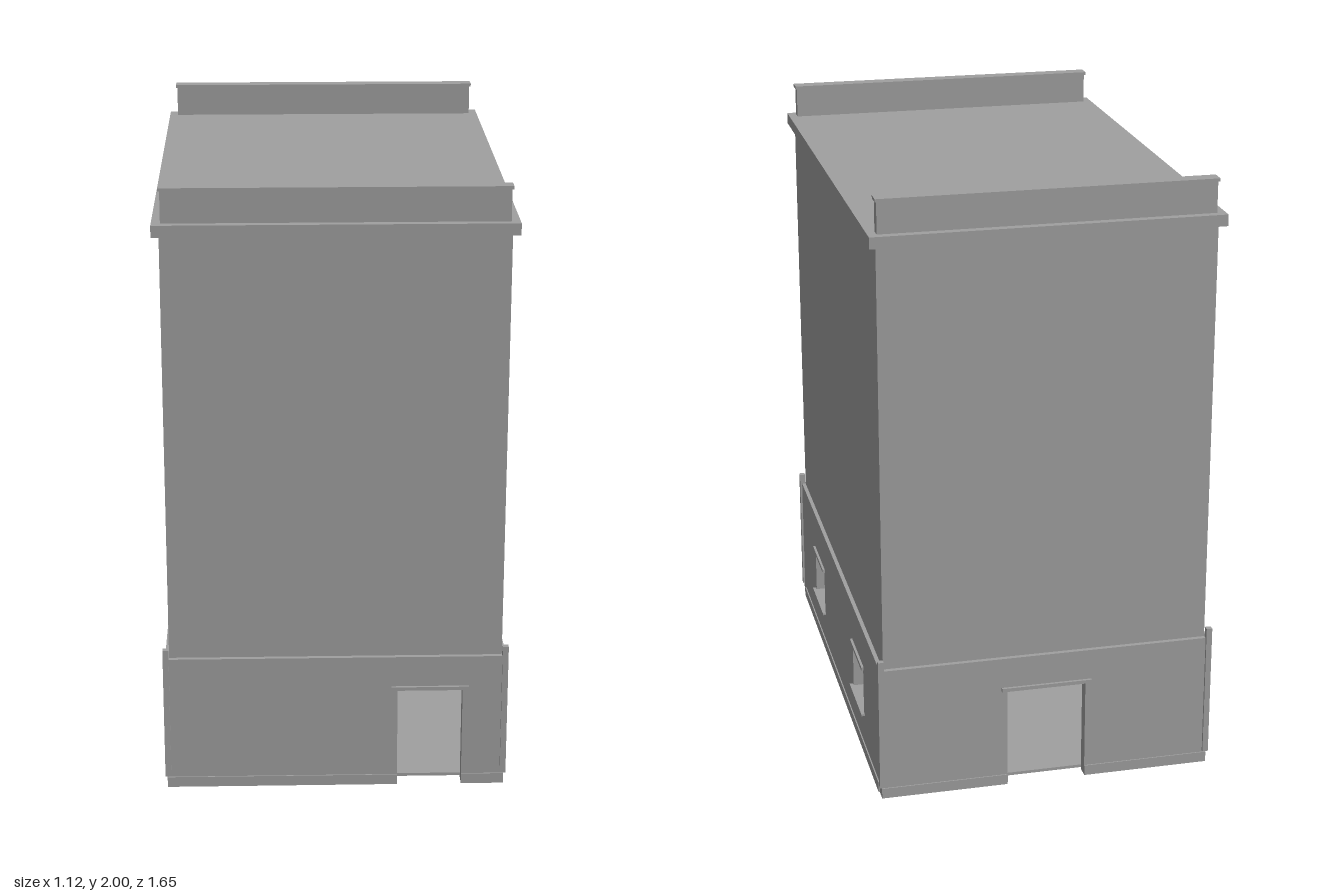
import * as THREE from 'three';

export function createModel() {
  const model = new THREE.Group();
  model.name = 'towerBuilding';
  const stone = new THREE.MeshStandardMaterial({ color: 0xa0a0a0 });
  stone.name = 'greyStone';

  const HX = 0.548, HZ = 0.815;   // half sizes of the ground storey
  const BASE_H = 0.455, WALL = 0.04;

  // box given by its limits on each axis
  function box(parent, name, x0, x1, y0, y1, z0, z1) {
    const mesh = new THREE.Mesh(new THREE.BoxGeometry(x1 - x0, y1 - y0, z1 - z0), stone);
    mesh.position.set((x0 + x1) / 2, (y0 + y1) / 2, (z0 + z1) / 2);
    mesh.name = name;
    parent.add(mesh);
  }

  // ground storey wall: x runs along the wall, +z points outward
  function wall(name, half, distance, angle, { doors = [], windows = [] }) {
    const group = new THREE.Group();
    group.name = name;
    group.rotation.y = angle;
    model.add(group);

    const shape = new THREE.Shape();
    shape.moveTo(-half, 0);
    let start = -half;
    for (const [a, b] of doors) {
      shape.lineTo(a, 0);
      shape.lineTo(a, 0.34);
      shape.lineTo(b, 0.34);
      shape.lineTo(b, 0);
      box(group, 'doorLintel', a - 0.02, b + 0.02, 0.34, 0.352, distance - 0.01, distance + 0.009);
      box(group, 'plinth', start, a, 0, 0.035, distance - 0.01, distance + 0.004);
      start = b;
    }
    box(group, 'plinth', start, half, 0, 0.035, distance - 0.01, distance + 0.004);
    shape.lineTo(half, 0);
    shape.lineTo(half, BASE_H);
    shape.lineTo(-half, BASE_H);

    for (const c of windows) {
      const hole = new THREE.Path();
      hole.moveTo(c - 0.1, 0.15);
      hole.lineTo(c - 0.1, 0.31);
      hole.lineTo(c + 0.1, 0.31);
      hole.lineTo(c + 0.1, 0.15);
      shape.holes.push(hole);
      box(group, 'windowSill', c - 0.115, c + 0.115, 0.143, 0.15, distance - 0.03, distance + 0.012);
      box(group, 'windowLintel', c - 0.11, c + 0.11, 0.31, 0.322, distance - 0.01, distance + 0.008);
    }
    const geo = new THREE.ExtrudeGeometry(shape, { depth: WALL, bevelEnabled: false });
    geo.translate(0, 0, distance - WALL);
    const mesh = new THREE.Mesh(geo, stone);
    mesh.name = name + 'Panel';
    group.add(mesh);
  }

  wall('frontWall', HX, HZ, 0, { doors: [[0.2, 0.41]] });
  wall('backWall', HX, HZ, Math.PI, { doors: [[-0.13, 0.13]] });
  wall('rightWall', HZ - WALL, HX, Math.PI / 2, { windows: [-0.4, 0.4] });
  wall('leftWall', HZ - WALL, HX, -Math.PI / 2, { windows: [-0.4] });

  // floor inside the ground storey, set just above the wall feet
  box(model, 'floor', -HX + WALL, HX - WALL, 0.006, 0.016, -HZ + WALL, HZ - WALL);

  // slim corner posts
  for (const sx of [-1, 1]) for (const sz of [-1, 1]) {
    const x = sx * 0.5455, z = sz * 0.8135;
    box(model, 'cornerPost', x - 0.0095, x + 0.0095, 0.04, 0.49, z - 0.0095, z + 0.0095);
  }

  // upper storeys, closing the room below, and the projecting roof slab
  box(model, 'upperStoreys', -0.535, 0.535, 0.44, 1.86, -0.8, 0.8);
  box(model, 'roofCornice', -0.558, 0.558, 1.853, 1.89, -0.823, 0.823);

  // front and back parapets with thin caps
  for (const s of [-1, 1]) {
    const z = s * 0.779;
    box(model, 'parapet', -0.53, 0.53, 1.88, 1.992, z - 0.018, z + 0.018);
    box(model, 'parapetCap', -0.535, 0.535, 1.99, 2, z - 0.024, z + 0.024);
  }
  return model;
}
